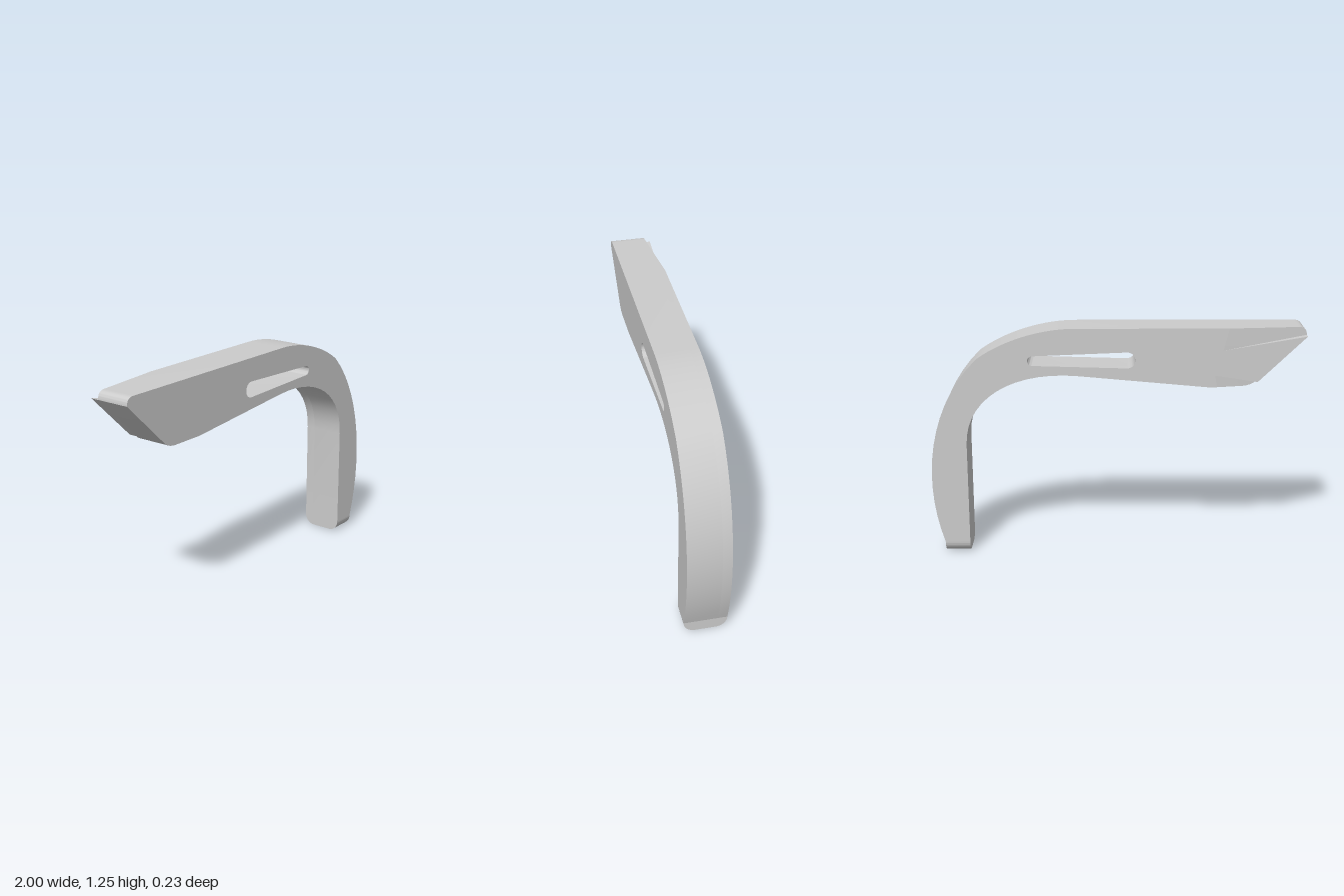
import * as THREE from 'three';
import { toCreasedNormals } from 'three/addons/utils/BufferGeometryUtils.js';

const BACK = -0.115, FRONT = 0.115, SPLIT = -0.065;
const TOP = 1.253, BOTTOM = 0.937, FOOT = 0.06;

const material = new THREE.MeshStandardMaterial({ color: 0xcccccc });

function extrude(shape, z0, z1) {
  const geometry = new THREE.ExtrudeGeometry(shape, {
    depth: z1 - z0, bevelEnabled: false, curveSegments: 14,
  });
  return geometry.translate(0, 0, z0);
}

function part(name, geometry) {
  const mesh = new THREE.Mesh(toCreasedNormals(geometry, 0.4), material);
  mesh.name = name;
  return mesh;
}

// Side profile of arm and leg; the notched one leaves a tongue at the free end
function profile(notched) {
  const s = new THREE.Shape();
  s.moveTo(0.805, FOOT);
  s.lineTo(0.94, FOOT);
  s.bezierCurveTo(1.06, 0.42, 1.0, 0.84, 0.74, 1.09);
  s.bezierCurveTo(0.6, 1.19, 0.4, TOP, 0.22, TOP);
  if (notched) {
    s.lineTo(-0.59, TOP);
    s.lineTo(-0.56, 1.135);
    s.lineTo(-1, 1.21);
    s.lineTo(-0.745, 0.965);
    s.lineTo(-0.52, 1.0);
    s.lineTo(-0.53, BOTTOM);
  } else {
    s.lineTo(-0.955, TOP);
    s.quadraticCurveTo(-1, TOP, -1, 1.21);
    s.lineTo(-0.745, 0.965);
    s.quadraticCurveTo(-0.715, BOTTOM, -0.66, BOTTOM);
  }
  s.lineTo(-0.48, BOTTOM);
  s.lineTo(0.2, 0.998);
  s.bezierCurveTo(0.56, 1.03, 0.805, 0.87, 0.805, 0.62);
  s.closePath();

  // Tapered slot with round ends
  const slot = new THREE.Path();
  slot.absarc(-0.055, 1.083, 0.043, Math.PI / 2, Math.PI * 1.5, false);
  slot.absarc(0.445, 1.08, 0.026, -Math.PI / 2, Math.PI / 2, false);
  slot.closePath();
  s.holes.push(slot);
  return s;
}

// Notch floor that sinks towards the free end
function notchFloor(shape, startX, slope) {
  const geometry = extrude(shape, BACK, SPLIT);
  const p = geometry.attributes.position;
  for (let i = 0; i < p.count; i++) {
    if (p.getZ(i) < (BACK + SPLIT) / 2) {
      p.setZ(i, BACK + slope * Math.max(0, startX - p.getX(i)));
    }
  }
  return geometry;
}

export function createModel() {
  const group = new THREE.Group();
  group.name = 'hookBracket';

  group.add(part('frontBody', extrude(profile(false), SPLIT, FRONT)));
  group.add(part('backBody', extrude(profile(true), BACK, SPLIT)));

  // Shallow notches above and below the tongue
  const upper = new THREE.Shape();
  upper.moveTo(-0.59, TOP);
  upper.lineTo(-0.955, TOP);
  upper.quadraticCurveTo(-1, TOP, -1, 1.21);
  upper.lineTo(-0.56, 1.135);
  upper.closePath();
  group.add(part('upperNotch', notchFloor(upper, -0.575, 0.105)));

  const lower = new THREE.Shape();
  lower.moveTo(-0.52, 1.0);
  lower.lineTo(-0.745, 0.965);
  lower.quadraticCurveTo(-0.715, BOTTOM, -0.66, BOTTOM);
  lower.lineTo(-0.53, BOTTOM);
  lower.closePath();
  group.add(part('lowerNotch', notchFloor(lower, -0.525, 0.2)));

  // Foot of the leg with rounded lower corners, drawn across z and extruded along x
  const foot = new THREE.Shape();
  foot.moveTo(FRONT, FOOT);
  foot.lineTo(BACK, FOOT);
  foot.absarc(BACK + FOOT, FOOT, FOOT, Math.PI, Math.PI * 1.5, false);
  foot.absarc(FRONT - FOOT, FOOT, FOOT, -Math.PI / 2, 0, false);
  group.add(part('foot', extrude(foot, 0.805, 0.94).rotateY(Math.PI / 2)));

  return group;
}
